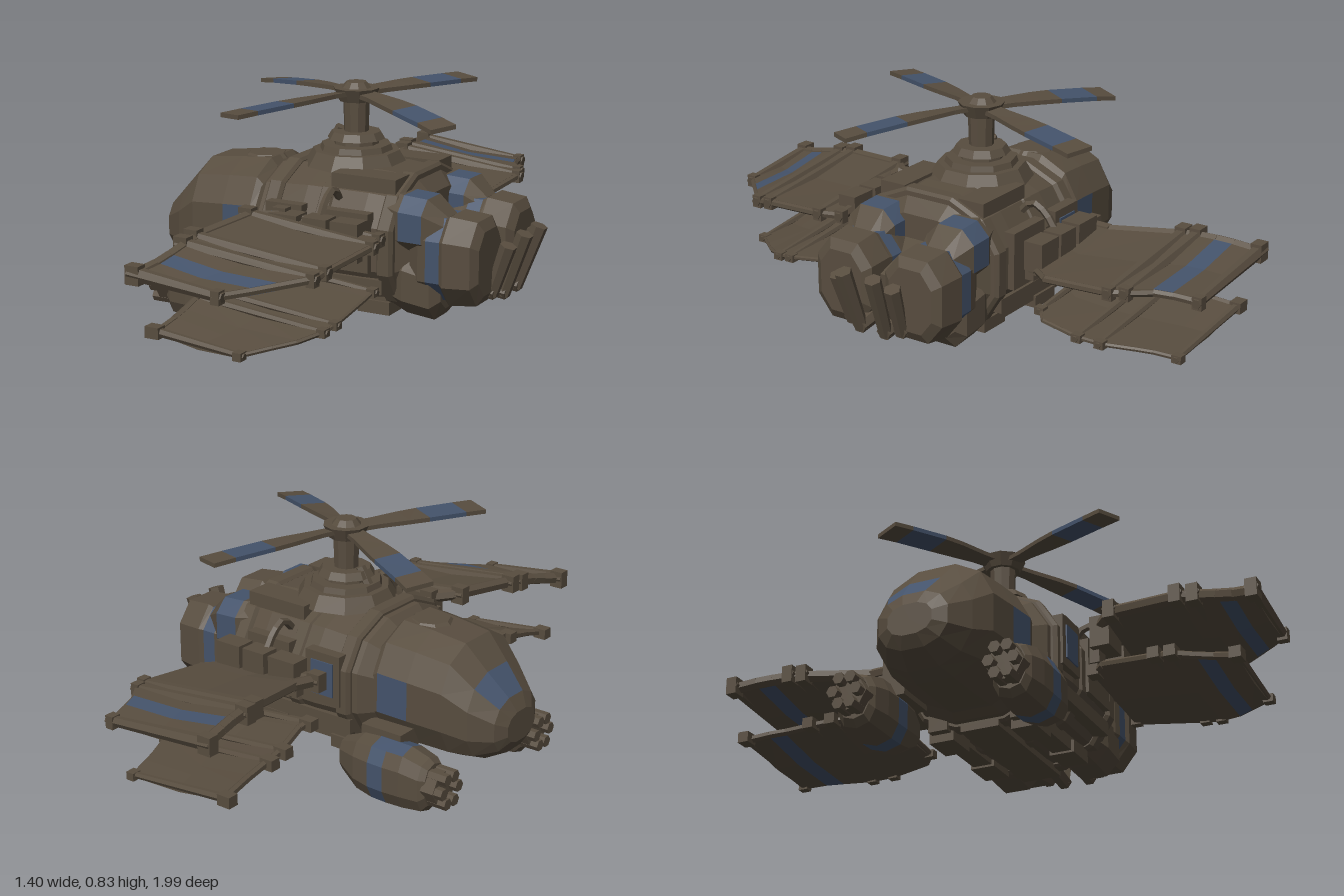
import * as THREE from 'three';

const armour = new THREE.MeshStandardMaterial({ color: 0x584d3f });
armour.name = 'brownArmour';
const paint = new THREE.MeshStandardMaterial({ color: 0x44536b });
paint.name = 'bluePaint';
const V = (x, y, z) => new THREE.Vector3(x, y, z);

// Faceted skin over closed rings of points; blue(i, j) picks painted faces
function loft(name, rings, blue = () => false) {
  const lists = [[], []];
  const put = (k, ...pts) => pts.forEach(p => lists[k].push(p.x, p.y, p.z));
  const n = rings[0].length;
  for (let i = 0; i < rings.length - 1; i++) {
    for (let j = 0; j < n; j++) {
      const k = (j + 1) % n, a = rings[i][j], b = rings[i][k], c = rings[i + 1][k], d = rings[i + 1][j];
      put(blue(i, j) ? 1 : 0, a, d, c, a, c, b);
    }
  }
  const middle = r => r.reduce((s, p) => s.add(p), V(0, 0, 0)).divideScalar(n);
  const first = rings[0], last = rings[rings.length - 1], m0 = middle(first), m1 = middle(last);
  for (let j = 0; j < n; j++) {
    const k = (j + 1) % n;
    put(0, m0, first[j], first[k]);
    put(0, m1, last[k], last[j]);
  }
  const g = new THREE.BufferGeometry();
  g.setAttribute('position', new THREE.Float32BufferAttribute([...lists[0], ...lists[1]], 3));
  g.addGroup(0, lists[0].length / 3, 0);
  g.addGroup(lists[0].length / 3, lists[1].length / 3, 1);
  g.computeVertexNormals();
  const mesh = new THREE.Mesh(g, [armour, paint]);
  mesh.name = name;
  return mesh;
}

// Hull along x from sections [x, yBottom, yTop, zCentre, halfWidth]
function hull(name, sections, n = 12, blue, power = 0.78) {
  const bend = v => Math.sign(v) * Math.abs(v) ** power;
  return loft(name, sections.map(([x, y0, y1, z, w]) => Array.from({ length: n }, (_, j) => {
    const a = (j + 0.5) / n * Math.PI * 2;
    return V(x, (y0 + y1) / 2 + (y1 - y0) / 2 * bend(Math.sin(a)), z + w * bend(Math.cos(a)));
  })), blue);
}

function solid(name, geometry, x = 0, y = 0, z = 0, mat = armour) {
  const g = geometry.index ? geometry.toNonIndexed() : geometry;
  g.computeVertexNormals();
  const mesh = new THREE.Mesh(g, mat);
  mesh.name = name;
  mesh.position.set(x, y, z);
  return mesh;
}
const box = (name, x, y, z, w, h, d, mat) => solid(name, new THREE.BoxGeometry(w, h, d), x, y, z, mat);

// Six-sided rod between two points
function beam(name, a, b, r0, r1 = r0) {
  const dir = b.clone().sub(a);
  const mesh = solid(name, new THREE.CylinderGeometry(r1, r0, dir.length(), 6));
  mesh.position.copy(a).add(b).multiplyScalar(0.5);
  mesh.quaternion.setFromUnitVectors(V(0, 1, 0), dir.normalize());
  return mesh;
}

// Wing panel from sections [z, xFront, xRear, y]; spars at joints, stripe on section span
function wing(name, sections, thick, stripe, painted, joints) {
  const g = new THREE.Group();
  g.name = name;
  const s = [...sections].sort((a, b) => a[0] - b[0]);
  const yAt = (x, y) => y - 0.1 * (x - 0.05);
  const rings = s.map(([z, x0, x1, y]) => {
    const top = [x0, (x0 + x1) / 2, x1].map((x, i) => V(x, yAt(x, y) + thick / 2 - (i === 1 ? 0.012 : 0), z));
    const low = top.map(p => V(p.x, p.y - thick, p.z)).reverse();
    return [...top, ...low];
  });
  const inStripe = i => {
    const z = Math.abs((s[i][0] + s[i + 1][0]) / 2);
    return z > stripe[0] && z < stripe[1];
  };
  g.add(loft('wingPanel', rings, (i, j) => inStripe(i) && painted.includes(j)));
  for (let i = 0; i < s.length - 1; i++) {
    const edge = (k, e) => V(s[k][e], yAt(s[k][e], s[k][3]), s[k][0]);
    g.add(beam('frontEdge', edge(i, 1), edge(i + 1, 1), thick * 0.85));
    g.add(beam('rearEdge', edge(i, 2), edge(i + 1, 2), thick * 0.5));
  }
  for (const k of joints) {
    const [z, x0, x1, y] = sections[k];
    g.add(beam('crossSpar', V(x0 - 0.03, yAt(x0, y) + 0.004, z), V(x1 + 0.02, yAt(x1, y), z), thick * 0.95, thick * 0.65));
    g.add(box('frontKnuckle', x0 - 0.01, yAt(x0, y), z, 0.05, thick * 2.4, 0.04));
    g.add(box('rearKnuckle', x1, yAt(x1, y), z, 0.03, thick * 1.7, 0.035));
  }
  return g;
}

export function createModel() {
  const model = new THREE.Group();
  const add = (...parts) => model.add(...parts);

  // Fuselage and cockpit
  add(hull('cockpit', [
    [-0.70, 0.21, 0.32, 0, 0.08], [-0.675, 0.17, 0.37, 0, 0.125], [-0.60, 0.13, 0.45, 0, 0.175],
    [-0.52, 0.12, 0.535, 0, 0.21], [-0.39, 0.12, 0.55, 0, 0.22], [-0.275, 0.125, 0.558, 0, 0.228], [-0.25, 0.13, 0.53, 0, 0.225],
  ], 12, (i, j) => (i === 4 && (j === 5 || j === 11)) || (i === 1 && (j === 2 || j === 3)), 0.84));
  add(hull('fuselage', [
    [-0.27, 0.14, 0.51, 0, 0.22], [-0.22, 0.11, 0.555, 0, 0.265], [-0.05, 0.1, 0.57, 0, 0.28],
    [0.18, 0.1, 0.57, 0, 0.28], [0.29, 0.11, 0.56, 0, 0.27], [0.34, 0.16, 0.5, 0, 0.22],
  ], 12, undefined, 0.84));
  add(solid('roofHatch', new THREE.CylinderGeometry(0.065, 0.08, 0.016, 8), -0.335, 0.545, 0));
  for (const x of [-0.2, 0.0, 0.24]) {
    add(hull('hullRib', [[x, 0.1, 0.565, 0, 0.275], [x + 0.01, 0.092, 0.575, 0, 0.289], [x + 0.05, 0.092, 0.575, 0, 0.289], [x + 0.06, 0.1, 0.565, 0, 0.275]], 12, undefined, 0.84));
  }

  // Belly keel, side armour, engines and gun pods, mirrored
  add(box('bellyKeel', 0.05, 0.11, 0, 0.5, 0.05, 0.14));
  for (const s of [1, -1]) {
    add(box('bellySkid', 0.02, 0.135, s * 0.15, 0.46, 0.07, 0.07));
    add(box('skidFoot', 0.19, 0.115, s * 0.15, 0.12, 0.045, 0.09));
    add(box('skidFoot', -0.12, 0.095, s * 0.15, 0.12, 0.045, 0.09));
    add(box('sidePanel', -0.1, 0.37, s * 0.27, 0.14, 0.18, 0.04));
    add(box('sidePanel', 0.13, 0.36, s * 0.272, 0.18, 0.2, 0.04));
    add(box('paintedDoor', -0.1, 0.37, s * 0.292, 0.09, 0.12, 0.006, paint));
    add(box('roofPanel', 0.16, 0.54, s * 0.16, 0.24, 0.05, 0.1));
    add(box('sideStep', 0.03, 0.21, s * 0.24, 0.46, 0.05, 0.06));

    add(hull('upperIntake', [
      [0.25, 0.34, 0.53, s * 0.15, 0.09], [0.31, 0.32, 0.525, s * 0.16, 0.1],
      [0.395, 0.32, 0.52, s * 0.16, 0.1], [0.46, 0.35, 0.46, s * 0.15, 0.07],
    ], 8, (i, j) => i === 1 && (j < 4 || j === 7)));
    add(hull('lowerIntake', [
      [0.26, 0.13, 0.32, s * 0.14, 0.09], [0.32, 0.11, 0.33, s * 0.15, 0.1], [0.42, 0.1, 0.31, s * 0.15, 0.1], [0.45, 0.14, 0.28, s * 0.14, 0.08],
    ], 8));
    add(hull('engine', [
      [0.34, 0.2, 0.44, s * 0.13, 0.1], [0.38, 0.17, 0.46, s * 0.14, 0.115], [0.41, 0.17, 0.465, s * 0.14, 0.12],
      [0.46, 0.17, 0.465, s * 0.14, 0.12], [0.475, 0.155, 0.475, s * 0.145, 0.125], [0.57, 0.165, 0.465, s * 0.14, 0.12], [0.59, 0.2, 0.43, s * 0.14, 0.09],
    ], 8, i => i === 2));
    // Raked exhaust pipes
    for (const [x, y, z, l] of [[0.55, 0.18, 0.05, 0.235], [0.53, 0.19, 0.1, 0.19]]) {
      add(beam('exhaustPipe', V(x + 0.05, y, s * z), V(x + 0.05 + l * 0.33, y + l * 0.94, s * (z + 0.01)), 0.023, 0.029));
      add(beam('exhaustElbow', V(x - 0.1, y + 0.04, s * z), V(x + 0.065, y + 0.01, s * z), 0.032, 0.027));
    }

    add(hull('gunPod', [
      [-0.55, 0.035, 0.185, s * 0.275, 0.055], [-0.53, 0.01, 0.2, s * 0.275, 0.07], [-0.46, 0.002, 0.22, s * 0.275, 0.08],
      [-0.395, 0.0, 0.22, s * 0.275, 0.082], [-0.335, 0.002, 0.22, s * 0.275, 0.082], [-0.27, 0.015, 0.215, s * 0.275, 0.075], [-0.19, 0.06, 0.18, s * 0.27, 0.045],
    ], 10, (i, j) => i === 3 || (i === 2 && (j === 1 || j === 2))));
    add(box('podMount', -0.33, 0.2, s * 0.22, 0.16, 0.08, 0.1));
    for (let k = 0; k < 6; k++) {
      const a = k * Math.PI / 3, y = 0.11 + 0.05 * Math.sin(a), z = s * 0.275 + 0.042 * Math.cos(a);
      add(beam('gunBarrel', V(-0.53, y, z), V(-0.62, y, z), 0.021));
    }
    add(beam('barrelClamp', V(-0.54, 0.11, s * 0.275), V(-0.59, 0.11, s * 0.275), 0.066));

    // Wing hinge blocks and curved feed hose
    for (const [x, w] of [[-0.03, 0.11], [0.09, 0.09], [0.2, 0.1]]) {
      add(box('wingHinge', x, 0.41, s * 0.385, w, 0.1, 0.07));
      add(box('hingeDrop', x, 0.355, s * 0.355, w * 0.5, 0.08, 0.035));
    }
    const hose = new THREE.CatmullRomCurve3([V(0.08, 0.49, s * 0.23), V(0.08, 0.525, s * 0.27), V(0.08, 0.5, s * 0.32), V(0.08, 0.43, s * 0.37)]);
    add(solid('feedHose', new THREE.TubeGeometry(hose, 6, 0.014, 5), 0, 0, 0));
  }
  add(beam('tailCore', V(0.3, 0.3, 0), V(0.52, 0.28, 0), 0.14, 0.08));

  // Four layered wings; the lower pair is painted underneath only
  const joints = [0, 2, 3, 6], bothSides = [0, 1, 2, 3, 4, 5], underside = [3, 4];
  add(wing('upperFrontWing', [
    [0.37, -0.05, 0.30, 0.43], [0.45, -0.13, 0.32, 0.43], [0.70, -0.18, 0.29, 0.405], [0.76, -0.18, 0.28, 0.395],
    [0.84, -0.19, 0.2, 0.375], [0.90, -0.20, 0.14, 0.36], [0.97, -0.22, 0.07, 0.345],
  ], 0.026, [0.85, 0.89], bothSides, [0, 1, 2, 3, 6]));
  add(wing('upperBackWing', [
    [-0.37, -0.13, 0.22, 0.38], [-0.46, -0.11, 0.29, 0.39], [-0.71, -0.15, 0.31, 0.413], [-0.76, -0.16, 0.29, 0.415],
    [-0.83, -0.17, 0.24, 0.412], [-0.89, -0.18, 0.22, 0.406], [-0.97, -0.19, 0.2, 0.395],
  ], 0.026, [0.84, 0.88], bothSides, joints));
  add(wing('lowerFrontWing', [
    [0.37, -0.08, 0.28, 0.25], [0.42, -0.14, 0.28, 0.24], [0.62, -0.18, 0.28, 0.21], [0.68, -0.19, 0.27, 0.2],
    [0.76, -0.19, 0.22, 0.178], [0.82, -0.19, 0.17, 0.165], [0.90, -0.2, 0.1, 0.145],
  ], 0.016, [0.77, 0.81], underside, joints));
  add(wing('lowerBackWing', [
    [-0.4, -0.12, 0.22, 0.235], [-0.44, -0.12, 0.27, 0.23], [-0.58, -0.16, 0.28, 0.212], [-0.66, -0.17, 0.27, 0.205],
    [-0.76, -0.18, 0.23, 0.195], [-0.82, -0.19, 0.21, 0.19], [-0.9, -0.2, 0.19, 0.18],
  ], 0.016, [0.77, 0.81], underside, joints));

  // Rotor pedestal and mast
  const rotor = new THREE.Group();
  rotor.name = 'rotor';
  rotor.position.set(0.012, 0, -0.015);
  for (const [name, y, h, r0, r1] of [
    ['pedestalBase', 0.575, 0.05, 0.18, 0.15], ['pedestalRing', 0.605, 0.03, 0.13, 0.12], ['pedestalNeck', 0.63, 0.06, 0.08, 0.075],
    ['mastCollar', 0.65, 0.025, 0.1, 0.085], ['mast', 0.71, 0.13, 0.042, 0.046], ['hub', 0.79, 0.045, 0.06, 0.08], ['hubCap', 0.82, 0.025, 0.055, 0.035],
  ]) rotor.add(solid(name, new THREE.CylinderGeometry(r1, r0, h, 10), 0, y, 0));
  rotor.add(beam('pedestalHose', V(-0.1, 0.6, 0), V(-0.06, 0.67, 0), 0.018));
  // Blades as [angle, length, tip droop]
  for (const [angle, length, droop] of [[70.5, 0.535, 0.014], [155, 0.51, 0.036], [247.5, 0.53, 0.014], [331, 0.515, 0.036]]) {
    const blade = loft('rotorBlade', [[0.1, 0.028], [0.22, 0.03], [0.42, 0.042], [0.57, 0.047], [0.85, 0.048], [1, 0.049]]
      .map(([t, w]) => {
        const r = t * length, y = 0.798 - droop * t * t;
        return [V(r, y + 0.001, w), V(r, y + 0.008, -w), V(r, y - 0.007, -w), V(r, y - 0.014, w)];
      }), i => i === 3);
    blade.rotation.y = angle * Math.PI / 180;
    rotor.add(blade);
  }
  add(rotor);
  return model;
}
